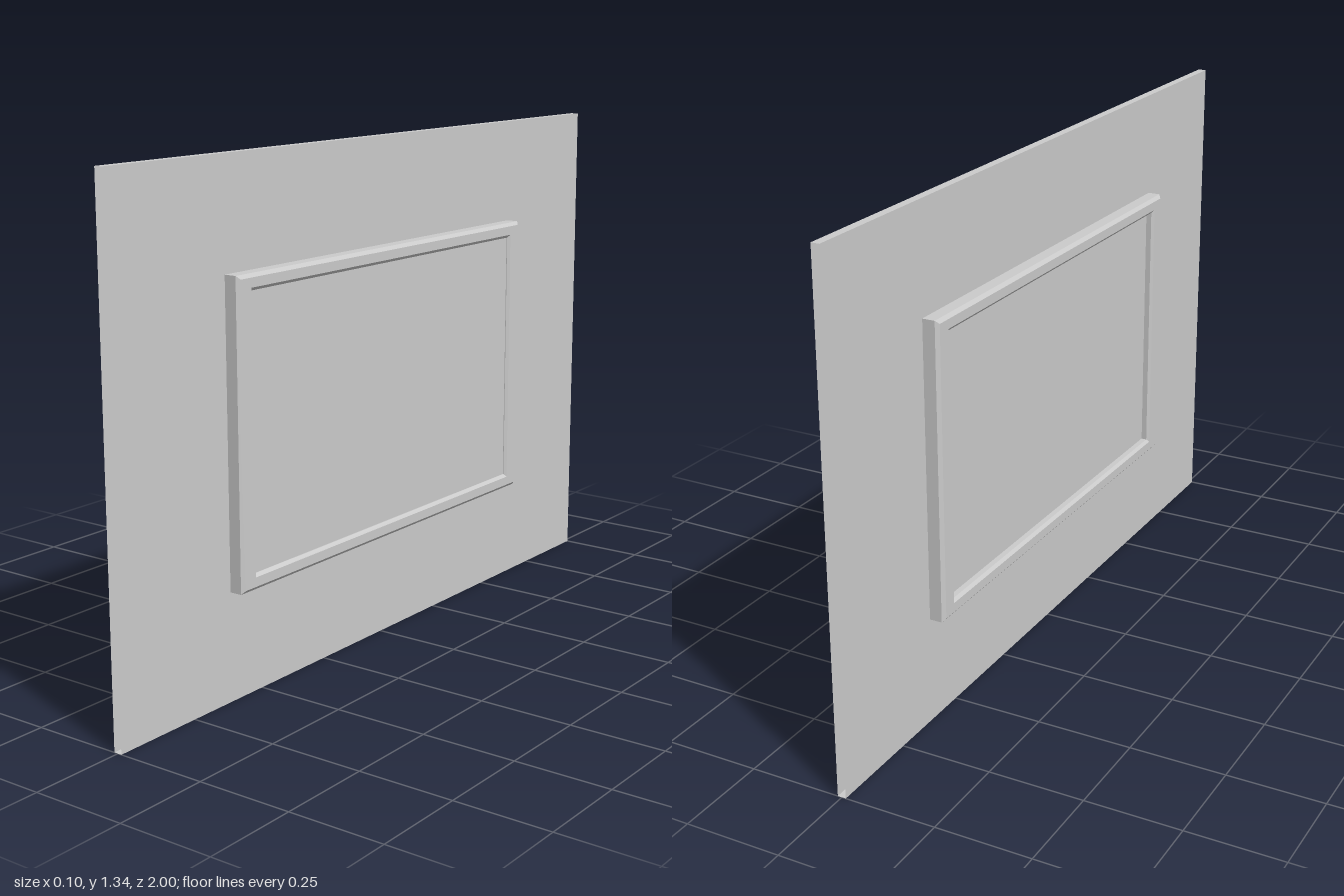
import * as THREE from 'three';

const H = 1.335, CY = H / 2;      // wall height and centre of the window
const T = 0.011;                  // half thickness of wall
const OZ = 0.56, OY = 0.346;      // half size of the opening
const PANE_LEFT = 0.043, PANE_RIGHT = -0.03; // pane surfaces, shallower on the left side

const mat = new THREE.MeshStandardMaterial({ color: 0xcccccc, flatShading: true });
const sheetMat = new THREE.MeshStandardMaterial({ color: 0xcccccc, flatShading: true, side: THREE.DoubleSide });

function addMesh(parent, name, geometry, material = mat) {
  const mesh = new THREE.Mesh(geometry, material);
  mesh.name = name;
  parent.add(mesh);
  return mesh;
}

// Trim profile from the outer wall edge to the opening: [half z, half y, x]
const trimProfile = [
  [0.613, 0.387, T], [0.613, 0.387, 0.044], [0.604, 0.378, 0.052],
  [0.566, 0.354, 0.052], [OZ, OY, 0.045], [OZ, OY, T],
];
const corners = [[1, -1], [-1, -1], [-1, 1], [1, 1]];

// Sweeps the profile around the four mitred corners
function trimGeometry() {
  const pos = [];
  const point = (i, k) => {
    const [z, y, x] = trimProfile[i], [sz, sy] = corners[k % 4];
    return [x, y * sy, z * sz];
  };
  for (let i = 0; i < trimProfile.length - 1; i++) {
    for (let k = 0; k < 4; k++) {
      const a = point(i, k), b = point(i, k + 1), c = point(i + 1, k + 1), d = point(i + 1, k);
      pos.push(...a, ...b, ...c, ...a, ...c, ...d);
    }
  }
  const geo = new THREE.BufferGeometry();
  geo.setAttribute('position', new THREE.Float32BufferAttribute(pos, 3));
  geo.computeVertexNormals();
  return geo;
}

function rectangle(target, hx, hy) {
  target.moveTo(-hx, -hy).lineTo(hx, -hy).lineTo(hx, hy).lineTo(-hx, hy).closePath();
  return target;
}

export function createModel() {
  const model = new THREE.Group();
  model.name = 'windowWall';

  // Wall faces with the window opening
  const wallShape = rectangle(new THREE.Shape(), 1, CY);
  wallShape.holes.push(rectangle(new THREE.Path(), OZ, OY));
  const wall = new THREE.Group();
  wall.name = 'wall';
  model.add(wall);
  for (const side of [1, -1]) {
    const face = addMesh(wall, side > 0 ? 'leftWallFace' : 'rightWallFace', new THREE.ShapeGeometry(wallShape), sheetMat);
    face.rotation.y = side * Math.PI / 2;
    face.position.set(side * T, CY, 0);
  }

  // Top and bottom edges; the wall ends stay open
  for (const up of [1, -1]) {
    const edge = addMesh(wall, up > 0 ? 'wallTop' : 'wallBottom', new THREE.PlaneGeometry(2 * T, 2), sheetMat);
    edge.rotation.x = -up * Math.PI / 2;
    edge.position.y = up > 0 ? H : 0;
  }

  // Pane filling the opening, set close to the left face of the trim
  const pane = addMesh(model, 'windowPane', new THREE.BoxGeometry(PANE_LEFT - PANE_RIGHT, 2 * OY, 2 * OZ));
  pane.position.set((PANE_LEFT + PANE_RIGHT) / 2, CY, 0);

  // Bevelled trim on both sides
  const trim = trimGeometry();
  for (const side of [1, -1]) {
    const frame = addMesh(model, side > 0 ? 'leftWindowFrame' : 'rightWindowFrame', trim);
    frame.position.y = CY;
    frame.rotation.y = side > 0 ? 0 : Math.PI;
  }
  return model;
}
